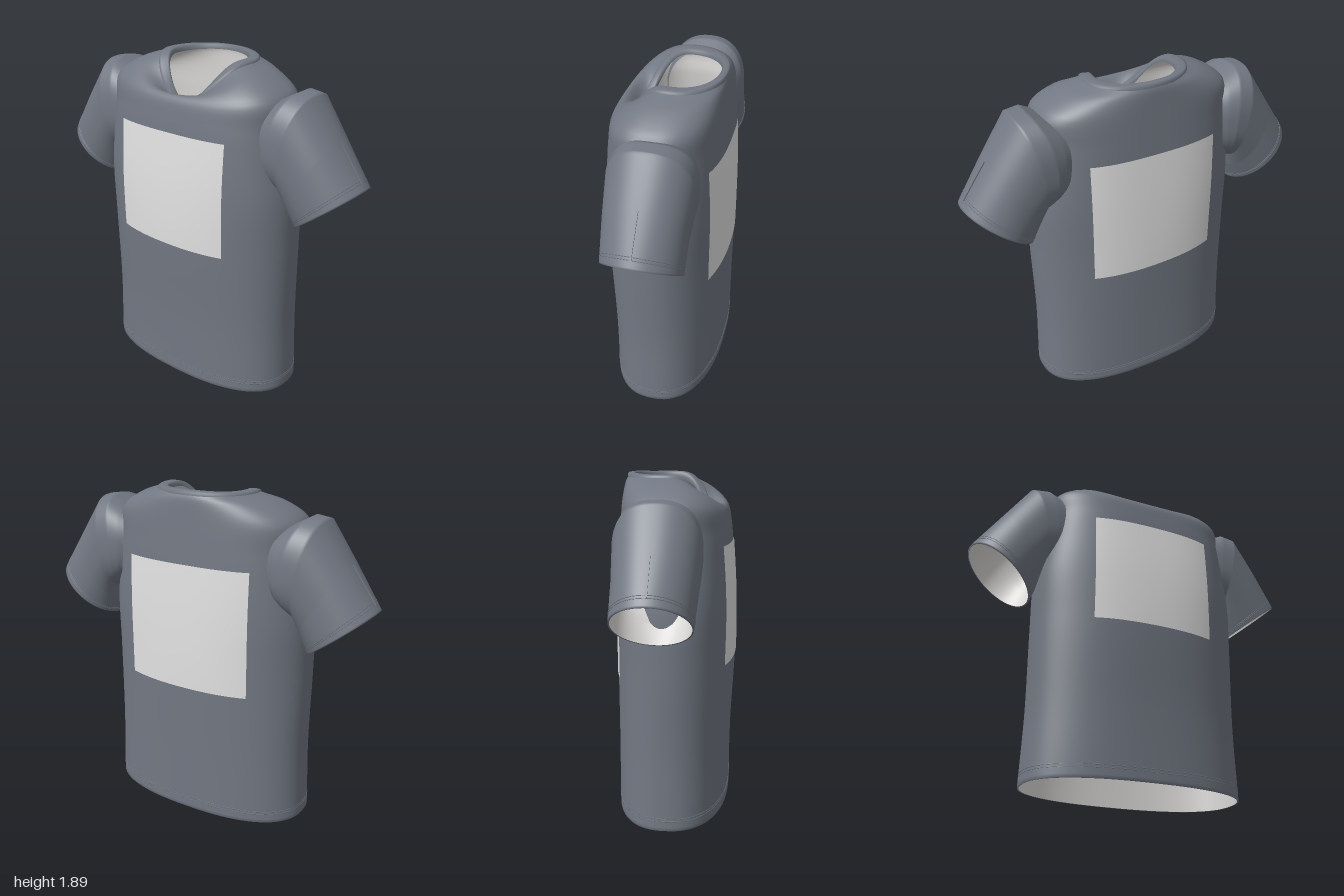
import * as THREE from 'three';

const SEG = 96;
const THICK = 0.008;

const shirtMat = new THREE.MeshStandardMaterial({ color: 0x727883 });
shirtMat.name = 'slate fabric';
const liningMat = new THREE.MeshStandardMaterial({ color: 0xdddcda });
liningMat.name = 'pale lining';
const panelMat = new THREE.MeshStandardMaterial({ color: 0xe2e2e2 });
panelMat.name = 'light grey panel';

const spow = (v, p) => Math.sign(v) * Math.abs(v) ** p;

// Smooth surface from a grid of points: rows of equal length, optionally closed round
function skin(rows, closed, flip) {
  const n = rows[0].length, pos = [], idx = [];
  rows.forEach(r => r.forEach(p => pos.push(p.x, p.y, p.z)));
  for (let j = 0; j < rows.length - 1; j++) {
    for (let i = 0; i < (closed ? n : n - 1); i++) {
      const k = (i + 1) % n;
      const a = j * n + i, b = j * n + k, c = a + n, d = b + n;
      if (flip) idx.push(a, b, c, b, d, c);
      else idx.push(a, c, b, b, c, d);
    }
  }
  const g = new THREE.BufferGeometry();
  g.setAttribute('position', new THREE.Float32BufferAttribute(pos, 3));
  g.setIndex(idx);
  g.computeVertexNormals();
  return g;
}

function add(group, name, geometry, material) {
  const m = new THREE.Mesh(geometry, material);
  m.name = name;
  group.add(m);
  return m;
}

// Interpolation of table rows [t, ...values], smooth or linear
function track(table, Interpolant) {
  const size = table[0].length - 1;
  const f = new Interpolant(
    table.map(r => r[0]), table.flatMap(r => r.slice(1)), size, new Float32Array(size));
  return t => Array.from(f.evaluate(t));
}

// Body section: half width, front z, back z, heights at front, side, back, squareness
function bodyPoint([w, zF, zB, yF, yS, yB, n], a, inset = 0) {
  const c = Math.cos(a), s = Math.sin(a);
  const mid = (zF + zB) / 2, d = (zF - zB) / 2 - inset;
  const y = yS + ((s > 0 ? yF : yB) - yS) * Math.abs(s) ** 3;
  return new THREE.Vector3((w - inset) * spow(c, 2 / n), y, mid + d * spow(s, 2 / n));
}

// Sleeve section: top x, y, bottom x, y, front z, back z, squareness, bow towards the body
function sleevePoint([tx, ty, bx, by, zF, zB, n, bow], a, side, inset = 0) {
  const c = spow(Math.cos(a), 2 / n), s = spow(Math.sin(a), 2 / n);
  const hx = (tx - bx) / 2, hy = (ty - by) / 2;
  const k = c * (1 - inset / Math.hypot(hx, hy));
  return new THREE.Vector3(
    side * ((tx + bx) / 2 + hx * k - bow * s * s),
    (ty + by) / 2 + hy * k,
    (zF + zB) / 2 + ((zF - zB) / 2 - inset) * s);
}

const ring = fn => Array.from({ length: SEG }, (_, i) => fn(i / SEG * Math.PI * 2));
const steps = (a, b, n) => Array.from({ length: n + 1 }, (_, i) => a + (b - a) * i / n);

// Thin raised seam following a closed ring of points
const seam = pts => new THREE.TubeGeometry(
  new THREE.CatmullRomCurve3(pts, true), SEG, 0.002, 5, true);

const flat = (y, w, zF, zB, n) => [y, w, zF, zB, y, y, y, n];
const body = track([
  flat(0, 0.625, 0.31, -0.33, 2.4),
  flat(0.08, 0.622, 0.31, -0.33, 2.4),
  flat(0.4, 0.612, 0.314, -0.33, 2.35),
  flat(0.9, 0.617, 0.336, -0.333, 2.25),
  flat(1.2, 0.612, 0.332, -0.325, 2.4),
  flat(1.45, 0.575, 0.316, -0.312, 2.6),
  flat(1.6, 0.555, 0.302, -0.302, 2.65),
  [1.7, 0.545, 0.285, -0.292, 1.69, 1.735, 1.745, 2.55],
  [1.78, 0.43, 0.252, -0.286, 1.715, 1.815, 1.83, 2.3],
  [1.88, 0.288, 0.188, -0.275, 1.655, 1.865, 1.87, 2.1],
], THREE.CubicInterpolant);

const sleeve = track([
  [0, 1.0, 1.33, 0.64, 1.05, 0.165, -0.25, 2, 0],
  [0.27, 0.845, 1.55, 0.6, 1.15, 0.178, -0.252, 2.2, 0],
  [0.53, 0.69, 1.77, 0.585, 1.23, 0.19, -0.265, 2.4, 0.02],
  [0.62, 0.615, 1.78, 0.575, 1.25, 0.187, -0.265, 2.5, 0.05],
  [0.7, 0.55, 1.745, 0.57, 1.26, 0.18, -0.25, 2.5, 0.07],
  [0.73, 0.525, 1.73, 0.565, 1.27, 0.165, -0.235, 2.5, 0.085],
], THREE.LinearInterpolant);

// Panel lying just above the front or back of the body
function panel(y0, y1, halfWidth, dir) {
  const rows = steps(y0, y1, 24).map(t => {
    const r = body(t);
    return steps(-halfWidth, halfWidth, 30).map(x => {
      const c = spow(x / r[0], r[6] / 2);
      const p = bodyPoint(r, dir * Math.acos(c));
      p.z += dir * 0.005;
      return p;
    });
  });
  return skin(rows, false, dir > 0);
}

export function createModel() {
  const model = new THREE.Group();
  model.name = 'tShirt';

  // Body with a turned-in hem, and its lining just inside
  const bodyRows = inset => steps(0, 1.88, 94).map(t => {
    const r = body(t);
    return ring(a => bodyPoint(r, a, inset));
  });
  const outer = bodyRows(0), inner = bodyRows(THICK);
  add(model, 'body', skin([inner[0], ...outer], true, false), shirtMat);
  add(model, 'bodyLining', skin(inner, true, true), liningMat);

  // Hem stitching
  for (const y of [0.055, 0.07]) {
    add(model, 'hemStitch', seam(ring(a => bodyPoint(body(y), a))), shirtMat);
  }

  // Ribbed neckband, rolled over from outside to inside
  const bandRows = [
    [0.292, 0.192, -0.281, 1.65, 1.856, 1.862, 2.1],
    [0.290, 0.191, -0.280, 1.668, 1.872, 1.877, 2.1],
    [0.278, 0.183, -0.273, 1.675, 1.879, 1.885, 2.1],
    [0.235, 0.157, -0.250, 1.665, 1.88, 1.888, 2.1],
    [0.222, 0.150, -0.241, 1.655, 1.872, 1.88, 2.1],
    [0.222, 0.150, -0.241, 1.63, 1.85, 1.858, 2.1],
  ];
  add(model, 'neckband',
    skin(bandRows.map(r => ring(a => bodyPoint(r, a))), true, false), shirtMat);

  // Underside of the neckband
  const under = [bandRows[0], bandRows[5]].map(r => ring(a => bodyPoint(r, a)));
  add(model, 'neckbandLining', skin(under, true, true), liningMat);

  // Chest and back panels
  add(model, 'frontPanel', panel(0.87, 1.52, 0.355, 1), panelMat);
  add(model, 'backPanel', panel(0.79, 1.5, 0.375, -1), panelMat);

  // Sleeves with turned-in cuff, lining, stitching and an outer crease
  for (const side of [1, -1]) {
    const arm = new THREE.Group();
    arm.name = side > 0 ? 'leftSleeve' : 'rightSleeve';
    const sleeveRows = inset => steps(0, 0.73, 73).map(t => {
      const r = sleeve(t);
      return ring(a => sleevePoint(r, a, side, inset));
    });
    const shell = sleeveRows(0), lining = sleeveRows(THICK);
    add(arm, 'sleeve', skin([lining[0], ...shell], true, side < 0), shirtMat);
    add(arm, 'sleeveLining', skin(lining, true, side > 0), liningMat);
    for (const t of [0.045, 0.06]) {
      add(arm, 'cuffStitch', seam(ring(a => sleevePoint(sleeve(t), a, side))), shirtMat);
    }
    const crease = add(arm, 'crease', new THREE.BoxGeometry(0.23, 0.012, 0.008), shirtMat);
    crease.position.set(side * 0.91, 1.458, -0.04);
    crease.rotation.z = side * Math.atan2(-0.22, 0.155);
    model.add(arm);
  }
  return model;
}
